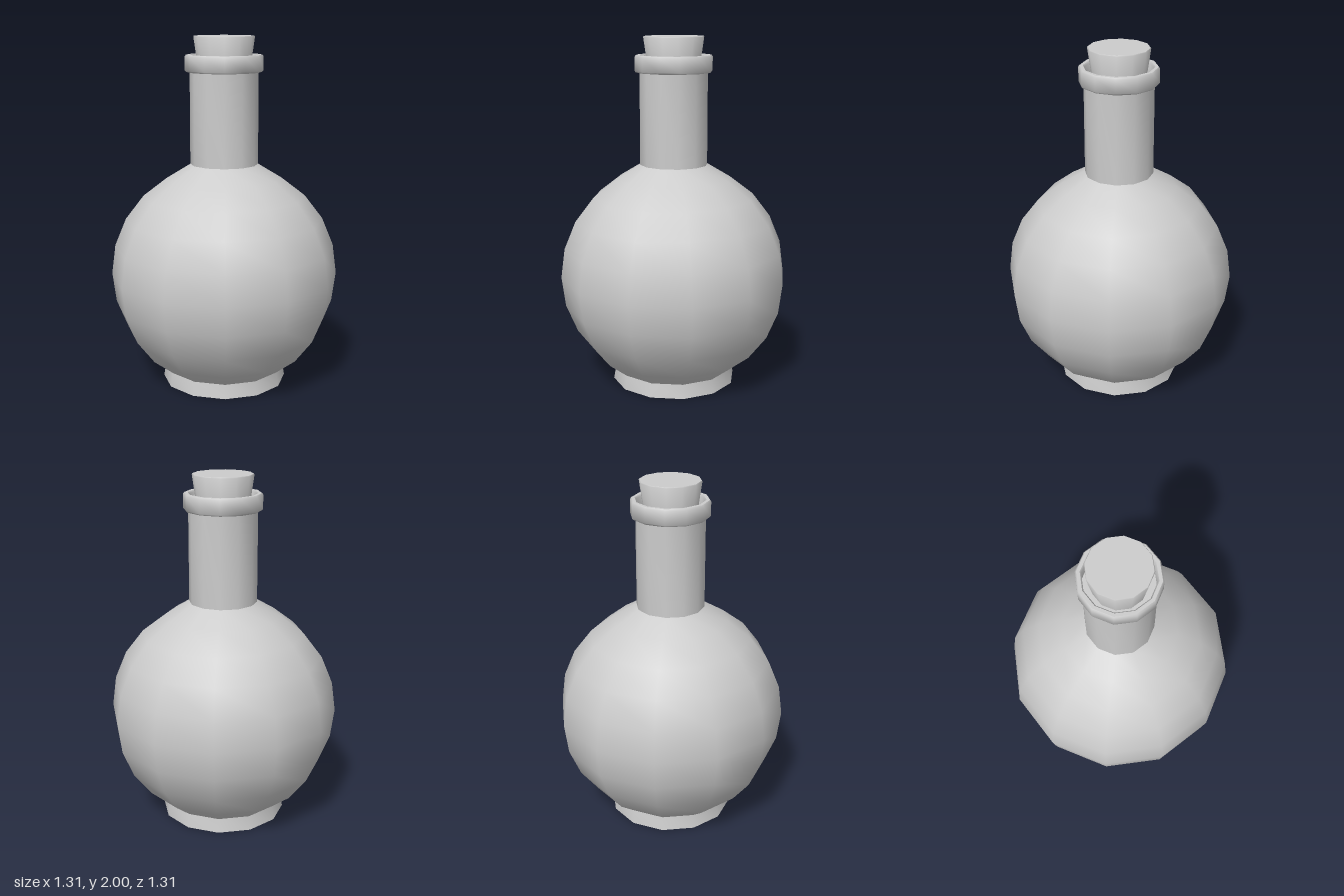
import * as THREE from 'three';
import { toCreasedNormals } from 'three/addons/utils/BufferGeometryUtils.js';

const SIDES = 12;

export function createModel() {
  const group = new THREE.Group();
  const grey = new THREE.MeshStandardMaterial({ color: 0xcccccc });
  grey.name = 'plain grey';

  // Turned part from [radius, height] points, bottom to top; sharp profile corners stay sharp
  function turned(name, points, crease = 0.66) {
    const profile = points.map(([r, y]) => new THREE.Vector2(r, y));
    const geometry = toCreasedNormals(new THREE.LatheGeometry(profile, SIDES), crease);
    const mesh = new THREE.Mesh(geometry, grey);
    mesh.name = name;
    group.add(mesh);
  }

  // Flared foot with a flat underside
  turned('base', [[0, 0], [0.36, 0], [0.345, 0.085], [0, 0.085]]);

  // Round body: 15 degree steps of a sphere, cut off at the foot and the neck
  const radius = 0.655, centre = 0.635;
  const body = [[0.345, 0.08]];
  for (let deg = -45; deg <= 60; deg += 15) {
    const a = THREE.MathUtils.degToRad(deg);
    body.push([radius * Math.cos(a), centre + radius * Math.sin(a)]);
  }
  body.push([0.19, 1.285]);
  turned('body', body, 0.8);

  // Straight neck, closed under the stopper
  turned('neck', [[0.193, 1.28], [0.193, 1.81], [0, 1.81]]);

  // Bevelled hollow lip
  turned('lip', [
    [0.19, 1.802], [0.213, 1.802], [0.22, 1.81], [0.22, 1.888],
    [0.213, 1.897], [0.195, 1.897], [0.188, 1.888], [0.188, 1.802],
  ], 0.9);

  // Tapered stopper
  turned('stopper', [[0.143, 1.8], [0.171, 1.995], [0.168, 2], [0, 2]], 0.9);

  return group;
}
